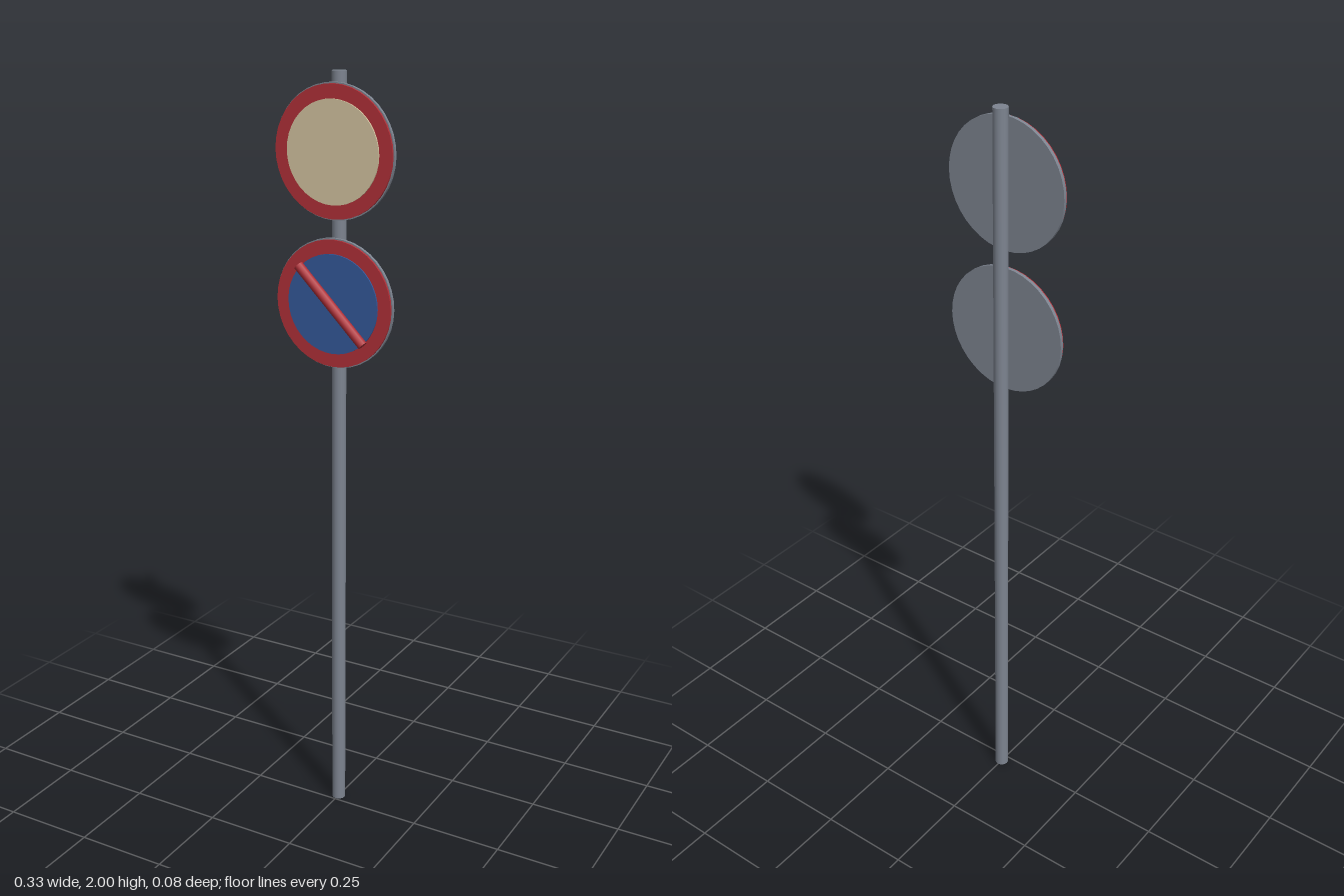
import * as THREE from 'three';

const material = (color) => new THREE.MeshStandardMaterial({ color });
const grey = material(0x7d8490);
const red = material(0xb03038);
const cream = material(0xd4c4a0);
const blue = material(0x34589a);

// Disc facing the front, between two depths
function disc(name, radius, back, front, mat) {
  const geo = new THREE.CylinderGeometry(radius, radius, front - back, 40);
  geo.rotateX(Math.PI / 2);
  geo.translate(0, 0, (back + front) / 2);
  const mesh = new THREE.Mesh(geo, mat);
  mesh.name = name;
  return mesh;
}

// Round plate: grey backing, red rim and coloured face
function sign(name, y, faceMaterial) {
  const group = new THREE.Group();
  group.name = name;
  group.position.y = y;
  group.add(
    disc('backPlate', 0.165, -0.004, 0.005, grey),
    disc('redRim', 0.162, 0.005, 0.011, red),
    disc('faceDisc', 0.127, 0.011, 0.015, faceMaterial)
  );
  return group;
}

export function createModel() {
  const model = new THREE.Group();
  model.name = 'roadSignPost';

  // Post standing behind the plates
  const post = new THREE.Mesh(new THREE.CylinderGeometry(0.0185, 0.0185, 2, 16), grey);
  post.name = 'post';
  post.position.set(0, 1, -0.0215);
  model.add(post);

  model.add(sign('upperSign', 1.81, cream));
  const lowerSign = sign('lowerSign', 1.436, blue);

  // Raised diagonal bar across the lower face
  const bar = new THREE.Mesh(new THREE.CylinderGeometry(0.0125, 0.0125, 0.26, 12), red);
  bar.name = 'diagonalBar';
  bar.position.z = 0.0235;
  bar.rotation.z = Math.PI / 4;
  lowerSign.add(bar);
  model.add(lowerSign);

  return model;
}
